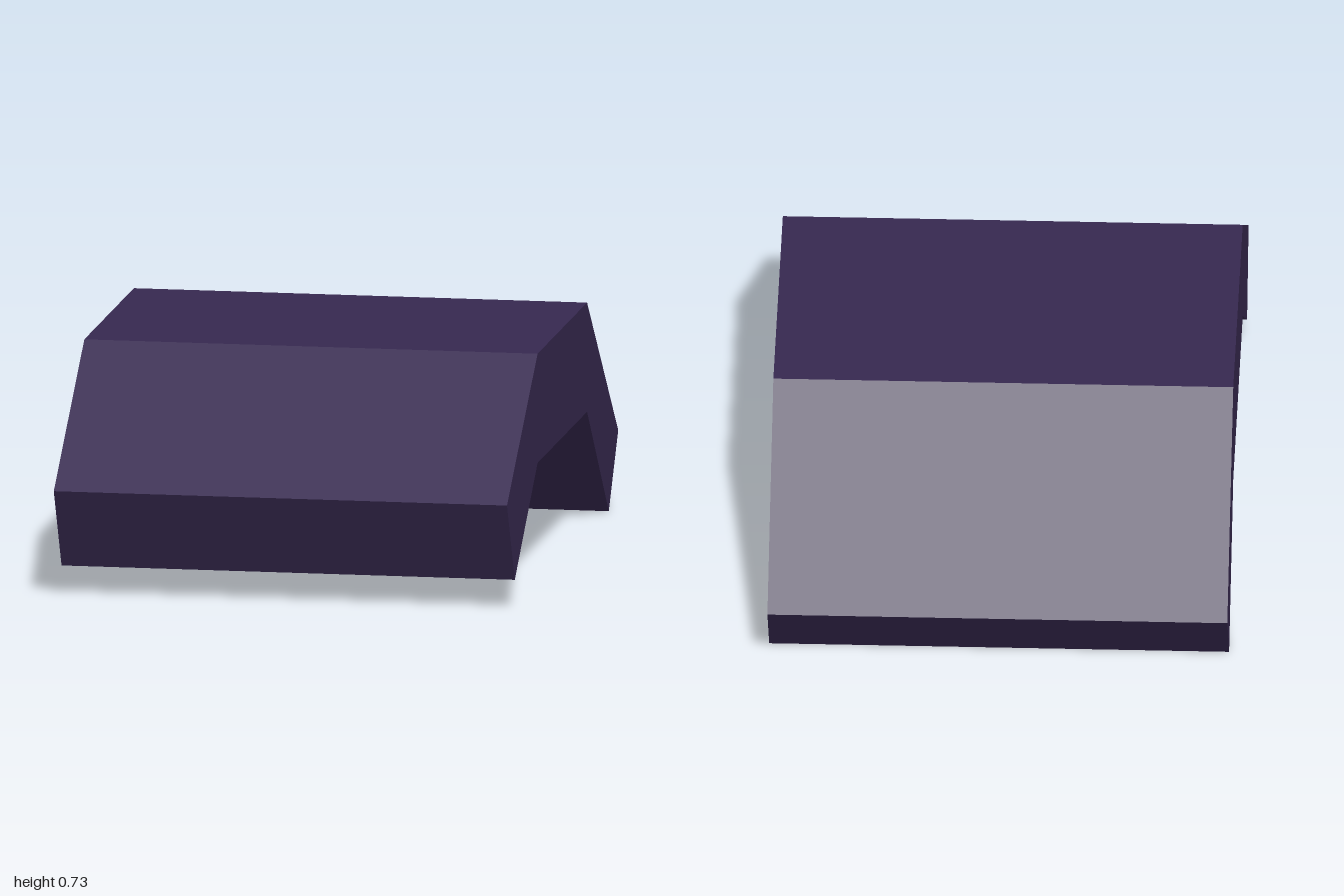
import * as THREE from 'three';

export function createModel() {
  const group = new THREE.Group();
  group.name = 'archedPlate';
  const width = 1.43;

  // Side profile of the bent plate as (z, y) points
  const profile = [
    [1, 0.35], [0.86, 0.09], [0.45, 0.385], [-0.44, 0.385],
    [-0.83, 0.0], [-1, 0.225], [-0.44, 0.73], [0.45, 0.73],
  ];
  const shape = new THREE.Shape(profile.map(([z, y]) => new THREE.Vector2(z, y)));

  // Extrude across the width, then turn the profile to run along z
  const geometry = new THREE.ExtrudeGeometry(shape, { depth: width, bevelEnabled: false });
  geometry.translate(0, 0, -width / 2);
  geometry.rotateY(-Math.PI / 2);

  const material = new THREE.MeshStandardMaterial({ color: 0x36284f, flatShading: true });
  const plate = new THREE.Mesh(geometry, material);
  plate.name = 'bentPlate';
  group.add(plate);
  return group;
}
